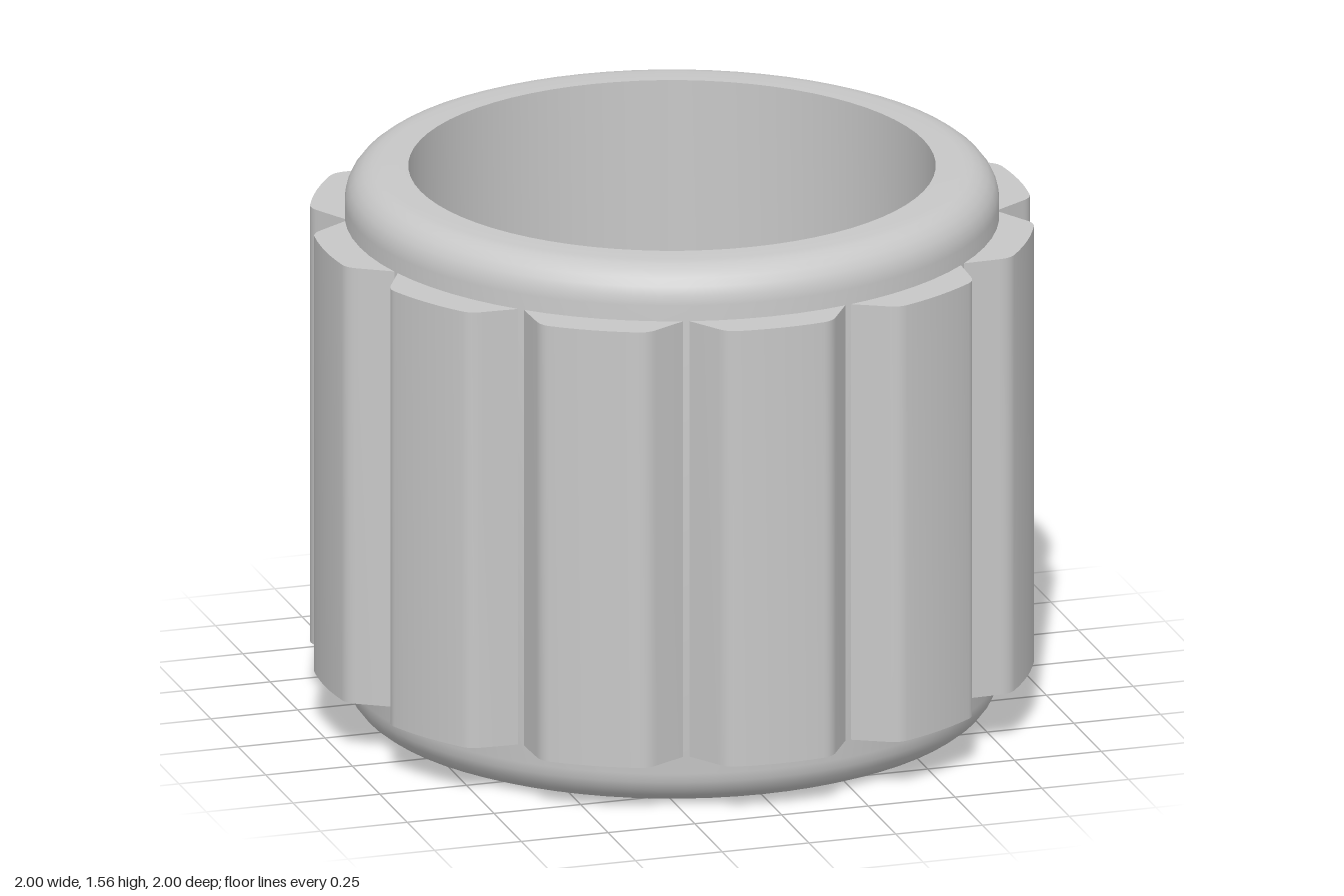
import * as THREE from 'three';
import { toCreasedNormals } from 'three/addons/utils/BufferGeometryUtils.js';

const HEIGHT = 1.56, RADIUS = 0.9, BORE = 0.725, FILLET = 0.1;
const FLOOR = 0.2, SOCKET = 0.165, SOCKET_FLOOR = 0.12;
const RIBS = 12, RIB_BOTTOM = 0.15, RIB_TOP = 1.415;

// Quarter-round corner of the body profile
function corner(cy, from) {
  return Array.from({ length: 7 }, (_, i) => {
    const a = from + (i / 6) * Math.PI / 2;
    return new THREE.Vector2(RADIUS - FILLET + FILLET * Math.cos(a), cy + FILLET * Math.sin(a));
  });
}

// Cup with rounded outer edges, a deep bore and a small central socket
function bodyGeometry() {
  const v = (x, y) => new THREE.Vector2(x, y);
  const profile = [
    v(0, 0),
    ...corner(FILLET, -Math.PI / 2),
    ...corner(HEIGHT - FILLET, 0),
    v(BORE, HEIGHT), v(BORE, FLOOR),
    v(SOCKET, FLOOR), v(SOCKET, SOCKET_FLOOR), v(0, SOCKET_FLOOR),
  ];
  return toCreasedNormals(new THREE.LatheGeometry(profile, 72), 0.6);
}

// Tapered grip rib with softened outer corners, extruded upward
function ribGeometry() {
  const s = new THREE.Shape();
  s.moveTo(-0.225, 0.87);
  s.lineTo(-0.17, 0.958);
  s.quadraticCurveTo(-0.153, 0.987, -0.125, 0.991);
  s.quadraticCurveTo(0, 1.009, 0.125, 0.991);
  s.quadraticCurveTo(0.153, 0.987, 0.17, 0.958);
  s.lineTo(0.225, 0.87);
  s.closePath();
  const g = new THREE.ExtrudeGeometry(s, { depth: RIB_TOP - RIB_BOTTOM, bevelEnabled: false, curveSegments: 6 });
  g.rotateX(-Math.PI / 2);
  g.translate(0, RIB_BOTTOM, 0);
  return toCreasedNormals(g, 0.5);
}

export function createModel() {
  const model = new THREE.Group();
  model.name = 'grippedKnob';
  const grey = new THREE.MeshStandardMaterial({ color: 0xc8c8c8 });
  grey.name = 'light grey';

  const body = new THREE.Mesh(bodyGeometry(), grey);
  body.name = 'body';
  model.add(body);

  // Ring of grip ribs
  const ribs = new THREE.Group();
  ribs.name = 'gripRibs';
  const geometry = ribGeometry();
  for (let i = 0; i < RIBS; i++) {
    const rib = new THREE.Mesh(geometry, grey);
    rib.name = 'gripRib' + (i + 1);
    rib.rotation.y = (i / RIBS) * Math.PI * 2;
    ribs.add(rib);
  }
  model.add(ribs);
  return model;
}
